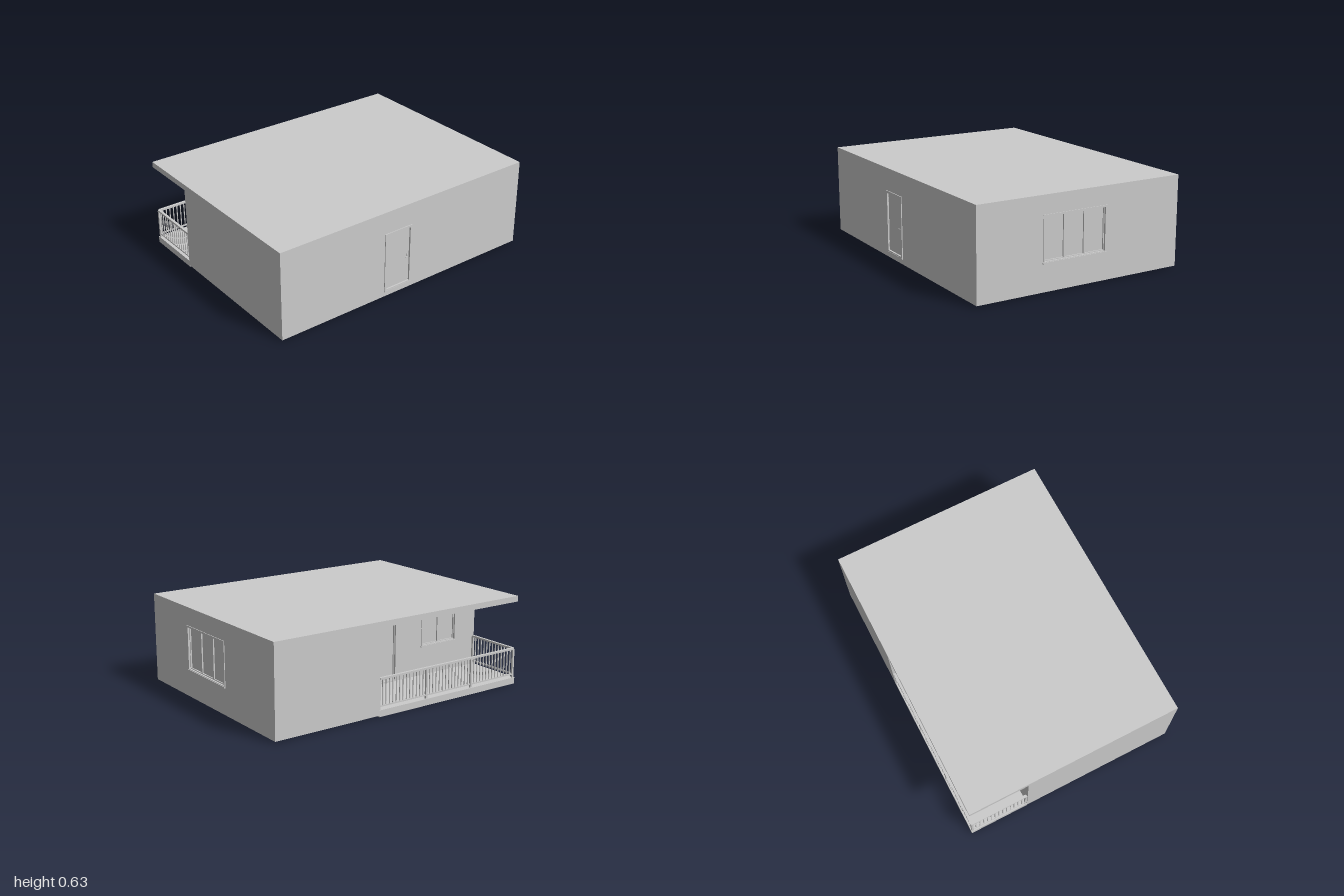
import * as THREE from 'three';

const mat = new THREE.MeshStandardMaterial({ color: 0xcccccc });

function mesh(parent, name, geometry, x = 0, y = 0, z = 0) {
  const m = new THREE.Mesh(geometry, mat);
  m.name = name;
  m.position.set(x, y, z);
  parent.add(m);
  return m;
}

// Box given by its minimum and maximum on each axis
function box(parent, name, x0, x1, y0, y1, z0, z1) {
  return mesh(parent, name, new THREE.BoxGeometry(x1 - x0, y1 - y0, z1 - z0),
    (x0 + x1) / 2, (y0 + y1) / 2, (z0 + z1) / 2);
}

function rect(target, x0, x1, y0, y1) {
  target.moveTo(x0, y0).lineTo(x1, y0).lineTo(x1, y1).lineTo(x0, y1).closePath();
  return target;
}

// Rectangular border standing in the xy plane
function border(parent, name, [x0, x1, y0, y1], w, z0, z1) {
  const s = rect(new THREE.Shape(), x0, x1, y0, y1);
  s.holes.push(rect(new THREE.Path(), x0 + w, x1 - w, y0 + w, y1 - w));
  return mesh(parent, name,
    new THREE.ExtrudeGeometry(s, { depth: z1 - z0, bevelEnabled: false }), 0, 0, z0);
}

const FLOOR = 0.045, CEILING = 0.59, TOP = 0.63, T = 0.05;
const X0 = -1, X1 = 0.99, Z0 = -0.765, Z1 = 0.76; // house outline
const BX = 0.2, BZ = -0.34;                       // inner corner of the balcony

// Wall with its outer face at local z = 0 and openings cut through
function wall(parent, name, x0, x1, angle, distance, openings = []) {
  const g = new THREE.Group();
  g.name = name;
  g.rotation.y = angle;
  g.position.set(Math.sin(angle) * distance, 0, Math.cos(angle) * distance);
  const s = rect(new THREE.Shape(), x0, x1, FLOOR, CEILING);
  for (const o of openings) s.holes.push(rect(new THREE.Path(), ...o));
  mesh(g, name + 'Panel', new THREE.ExtrudeGeometry(s, { depth: T, bevelEnabled: false }), 0, 0, -T);
  parent.add(g);
  return g;
}

// Framed glazing split into equal sashes
function glazing(parent, name, opening, count, sill) {
  const [x0, x1, y0, y1] = opening;
  const g = new THREE.Group();
  g.name = name;
  border(g, 'frame', opening, 0.012, -0.035, 0.005);
  const w = (x1 - x0 - 0.024) / count;
  for (let i = 0; i < count; i++) {
    const a = x0 + 0.012 + i * w;
    border(g, 'sash', [a, a + w, y0 + 0.012, y1 - 0.012], 0.006, -0.025, -0.008);
  }
  box(g, 'glass', x0 + 0.01, x1 - 0.01, y0 + 0.01, y1 - 0.01, -0.022, -0.017);
  if (sill) box(g, 'sill', x0 - 0.003, x1 + 0.003, y0 - 0.002, y0 + 0.008, -0.01, 0.01);
  parent.add(g);
}

function slabs(house) {
  // L-shaped floor; the shape's y becomes -z
  const s = new THREE.Shape();
  s.moveTo(X0, -Z1).lineTo(X1, -Z1).lineTo(X1, -Z0).lineTo(BX, -Z0)
    .lineTo(BX, -BZ).lineTo(X0, -BZ).closePath();
  const floor = mesh(house, 'floorSlab',
    new THREE.ExtrudeGeometry(s, { depth: FLOOR - 0.01, bevelEnabled: false }), 0, 0.01, 0);
  floor.rotation.x = -Math.PI / 2;
  box(house, 'balconySlab', X0, BX, 0, FLOOR, Z0, BZ);
  box(house, 'roofSlab', X0, X1, CEILING, TOP, Z0, Z1);
}

function frontDoor(parent, [x0, x1, y0, y1]) {
  const g = new THREE.Group();
  g.name = 'frontDoor';
  border(g, 'doorFrame', [x0, x1, y0, y1], 0.016, -T, 0.006);
  box(g, 'doorLeaf', x0 + 0.014, x1 - 0.014, y0 + 0.008, y1 - 0.014, -0.03, -0.006);
  box(g, 'threshold', x0, x1, y0, y0 + 0.008, -0.03, 0.008);
  box(g, 'handlePlate', x1 - 0.034, x1 - 0.026, 0.23, 0.265, -0.006, -0.003);
  box(g, 'handleStem', x1 - 0.032, x1 - 0.028, 0.246, 0.25, -0.004, 0.006);
  box(g, 'handleLever', x1 - 0.054, x1 - 0.028, 0.246, 0.25, 0.003, 0.007);
  for (const y of [0.1, 0.26, 0.41])
    mesh(g, 'hinge', new THREE.CylinderGeometry(0.003, 0.003, 0.03, 8), x0 + 0.017, y, -0.003);
  parent.add(g);
}

// Straight run of railing along local +x
function railing(parent, name, length, sections, x, z, angle) {
  const g = new THREE.Group();
  g.name = name;
  g.position.set(x, 0, z);
  g.rotation.y = angle;
  box(g, 'topRail', 0, length, 0.247, 0.26, -0.009, 0.009);
  box(g, 'bottomRail', 0, length, 0.065, 0.074, -0.005, 0.005);
  const step = length / sections, count = Math.round(step / 0.029);
  for (let i = 0; i <= sections; i++)
    box(g, 'post', i * step - 0.007, i * step + 0.007, FLOOR, 0.25, -0.007, 0.007);
  for (let i = 0; i < sections; i++)
    for (let j = 1; j < count; j++) {
      const c = (i + j / count) * step;
      box(g, 'baluster', c - 0.003, c + 0.003, 0.07, 0.25, -0.003, 0.003);
    }
  parent.add(g);
}

function ceilingLight(house) {
  const g = new THREE.Group();
  g.name = 'ceilingLight';
  g.position.set(-0.42, CEILING, -0.53);
  mesh(g, 'lightBase', new THREE.CylinderGeometry(0.036, 0.032, 0.012, 24), 0, -0.006, 0);
  const ring = mesh(g, 'lightRing', new THREE.TorusGeometry(0.035, 0.006, 8, 24), 0, -0.008, 0);
  ring.rotation.x = Math.PI / 2;
  house.add(g);
}

export function createModel() {
  const house = new THREE.Group();
  house.name = 'house';
  slabs(house);

  // Entrance wall
  const door = [-0.195, 0.028, FLOOR, 0.475];
  frontDoor(wall(house, 'frontWall', X0, X1, 0, Z1, [door]), door);

  // Side walls
  const big = [-0.29, 0.19, 0.195, 0.505];
  glazing(wall(house, 'leftWall', -Z1 + T, -Z0 - T, Math.PI / 2, X1, [big]), 'sideWindow', big, 3, true);
  wall(house, 'rightWall', BZ + T, Z1 - T, -Math.PI / 2, -X0);

  // Back wall and the two walls around the balcony
  wall(house, 'backWall', -X1, -BX, Math.PI, -Z0);
  wall(house, 'balconySideWall', Z0 + T, BZ, -Math.PI / 2, -BX);
  const slider = [-0.15, 0.28, FLOOR, 0.495], small = [0.5, 0.82, 0.25, 0.495];
  const inner = wall(house, 'balconyBackWall', -BX - T, -X0, Math.PI, -BZ, [slider, small]);
  glazing(inner, 'balconyDoor', slider, 2, false);
  glazing(inner, 'balconyWindow', small, 2, true);

  // Balcony railing and lamp
  const rx = X0 + 0.012, rz = Z0 + 0.012;
  railing(house, 'backRailing', BX - 0.007 - rx, 3, rx, rz, 0);
  railing(house, 'sideRailing', BZ - 0.007 - rz, 1, rx, rz, -Math.PI / 2);
  ceilingLight(house);
  return house;
}
